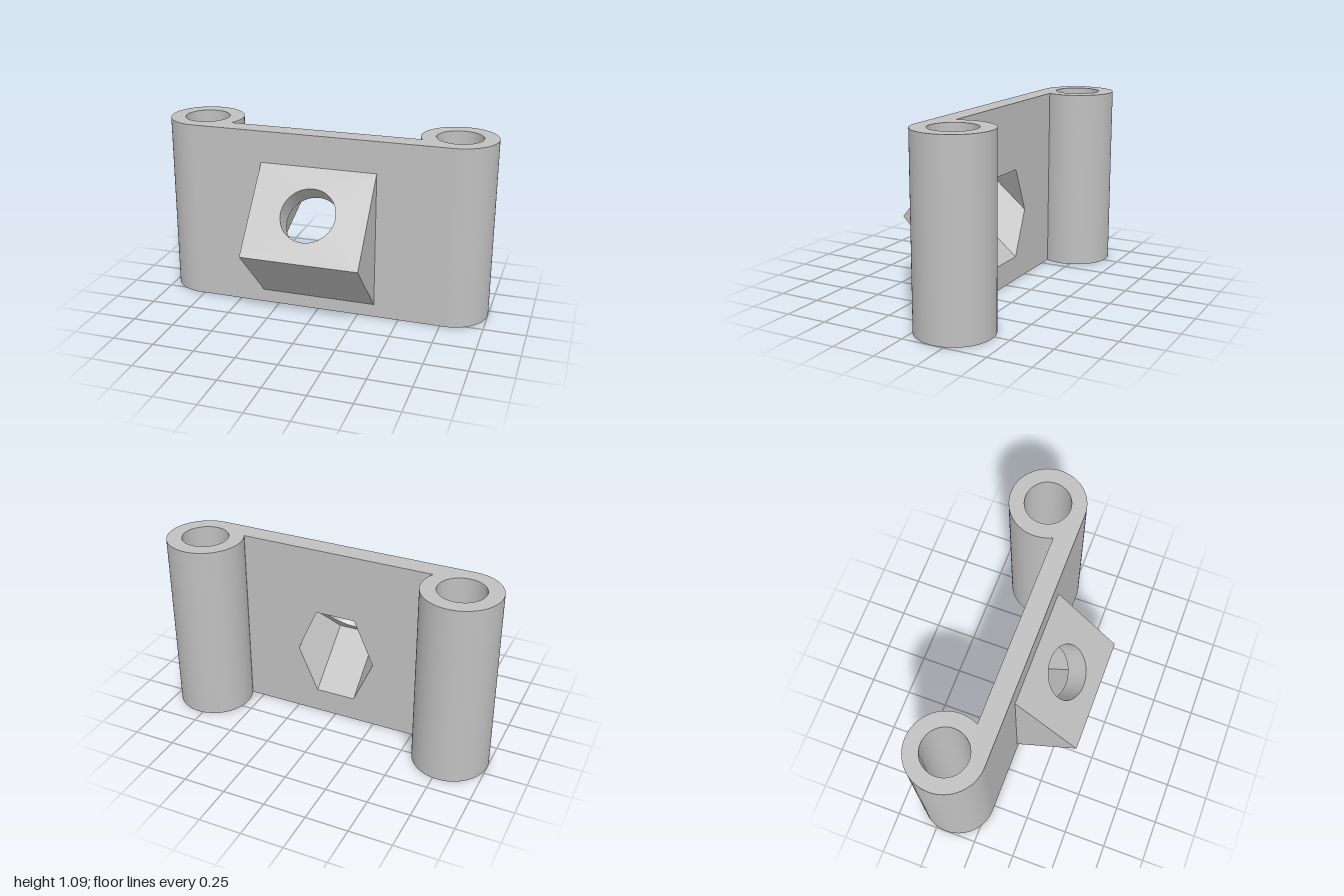
import * as THREE from 'three';

const H = 1.09;                                   // body height
const TUBE = { x: 0.777, z: -0.188, r: 0.223, bore: 0.135 };
const FRONT = 0.035, BACK = -0.085;               // plate faces
const W = 0.35;                                   // wedge half width
const TOP = [0.9, FRONT], TIP = [0.45, 0.411], LOW = [0.08, FRONT]; // wedge profile as [y, z]
const HOLE_R = 0.163, HOLE_DEPTH = 0.143, HEX_R = 0.24;

export function createModel() {
  const model = new THREE.Group();
  model.name = 'hingeBracket';
  const grey = new THREE.MeshStandardMaterial({ color: 0xc0c0c0, side: THREE.DoubleSide });
  grey.name = 'light grey';

  const add = (name, geometry, parent = model) => {
    const mesh = new THREE.Mesh(geometry, grey);
    mesh.name = name;
    parent.add(mesh);
    return mesh;
  };
  const polyShape = (pts) => new THREE.Shape(pts.map(([x, y]) => new THREE.Vector2(x, y)));
  const rect = (x, y0, y1) => [[-x, y0], [x, y0], [x, y1], [-x, y1]];
  const circle = (x, y, r) => new THREE.Path().absarc(x, y, r, 0, Math.PI * 2, true);
  // flat convex polygon, corners counter-clockwise from outside
  const polygon = (pts) => {
    const tris = [];
    for (let i = 1; i < pts.length - 1; i++) tris.push(...pts[0], ...pts[i], ...pts[i + 1]);
    const g = new THREE.BufferGeometry();
    g.setAttribute('position', new THREE.Float32BufferAttribute(tris, 3));
    g.computeVertexNormals();
    return g;
  };

  // Slanted frame of the screw hole: local z points out of the wedge's upper face
  const dy = TOP[0] - TIP[0], dz = TIP[1] - TOP[1], slope = Math.hypot(dy, dz);
  const cos = dy / slope, sin = dz / slope;
  const cy = (TOP[0] + TIP[0]) / 2, cz = (TOP[1] + TIP[1]) / 2;
  const depthAt = (v) => (cz - BACK - sin * v) / cos;   // distance to the back face
  const hex = Array.from({ length: 6 }, (_, i) =>
    [HEX_R * Math.cos(i * Math.PI / 3), HEX_R * Math.sin(i * Math.PI / 3)]);
  const hexOnBack = hex.map(([u, v]) => [u, cy + cos * v - sin * depthAt(v)]);

  // Tubes: the outer wall stops where the plate meets it
  const join = Math.acos((BACK - TUBE.z) / TUBE.r);
  const sweep = Math.PI * 2 - join;
  const backX = TUBE.x - TUBE.r * Math.sin(join);
  for (const side of [1, -1]) {
    const label = side > 0 ? 'left' : 'right';
    const outer = new THREE.CylinderGeometry(TUBE.r, TUBE.r, H, 72, 1, true, side > 0 ? 0 : join, sweep);
    add(label + 'TubeWall', outer).position.set(side * TUBE.x, H / 2, TUBE.z);
    const bore = new THREE.CylinderGeometry(TUBE.bore, TUBE.bore, H, 64, 1, true);
    add(label + 'TubeBore', bore).position.set(side * TUBE.x, H / 2, TUBE.z);
  }

  // Top and bottom ends: outline of plate and tubes with the two bores
  const outline = [];
  for (const side of [1, -1]) {
    for (let i = 0; i <= 72; i++) {
      const a = sweep * (side > 0 ? i : 72 - i) / 72;
      outline.push([side * (TUBE.x + TUBE.r * Math.sin(a)), TUBE.z + TUBE.r * Math.cos(a)]);
    }
  }
  for (const up of [1, -1]) {
    const shape = polyShape(outline.map(([x, z]) => [x, -up * z]));
    for (const side of [1, -1]) shape.holes.push(circle(side * TUBE.x, -up * TUBE.z, TUBE.bore));
    const g = new THREE.ShapeGeometry(shape, 32).rotateX(-up * Math.PI / 2);
    add(up > 0 ? 'topEnd' : 'bottomEnd', g).position.y = up > 0 ? H : 0;
  }

  // Plate front, open behind the wedge
  const front = polyShape(rect(TUBE.x, 0, H));
  front.holes.push(polyShape(rect(W, LOW[0], TOP[0])));
  add('plateFront', new THREE.ShapeGeometry(front)).position.z = FRONT;

  // Plate back with the mouth of the nut pocket
  const back = polyShape(rect(backX, 0, H));
  back.holes.push(polyShape(hexOnBack));
  const backGeometry = new THREE.ShapeGeometry(back);
  backGeometry.index.array.reverse();
  backGeometry.computeVertexNormals();
  add('plateBack', backGeometry).position.z = BACK;

  // Wedge sides and underside
  add('wedgeLeft', polygon([TOP, TIP, LOW].map((p) => [W, ...p])));
  add('wedgeRight', polygon([LOW, TIP, TOP].map((p) => [-W, ...p])));
  add('wedgeUnderside', polygon([[-W, ...LOW], [W, ...LOW], [W, ...TIP], [-W, ...TIP]]));

  // Slanted wedge face, screw hole and hexagonal nut pocket
  const slanted = new THREE.Group();
  slanted.name = 'screwSeat';
  slanted.position.set(0, cy, cz);
  slanted.rotation.x = -Math.atan2(sin, cos);
  model.add(slanted);

  const face = polyShape(rect(W, -slope / 2, slope / 2));
  face.holes.push(circle(0, 0, HOLE_R));
  add('wedgeFace', new THREE.ShapeGeometry(face, 32), slanted);

  const hole = new THREE.CylinderGeometry(HOLE_R, HOLE_R, HOLE_DEPTH, 64, 1, true).rotateX(Math.PI / 2);
  add('screwHole', hole, slanted).position.z = -HOLE_DEPTH / 2;

  const floor = polyShape(hex);
  floor.holes.push(circle(0, 0, HOLE_R));
  const floorGeometry = new THREE.ShapeGeometry(floor, 32).rotateY(Math.PI);
  add('nutPocketFloor', floorGeometry, slanted).position.z = -HOLE_DEPTH;

  hex.forEach(([u, v], i) => {
    const [u2, v2] = hex[(i + 1) % 6];
    add('nutPocketWall', polygon([
      [u, v, -HOLE_DEPTH], [u2, v2, -HOLE_DEPTH], [u2, v2, -depthAt(v2)], [u, v, -depthAt(v)],
    ]), slanted);
  });

  return model;
}
